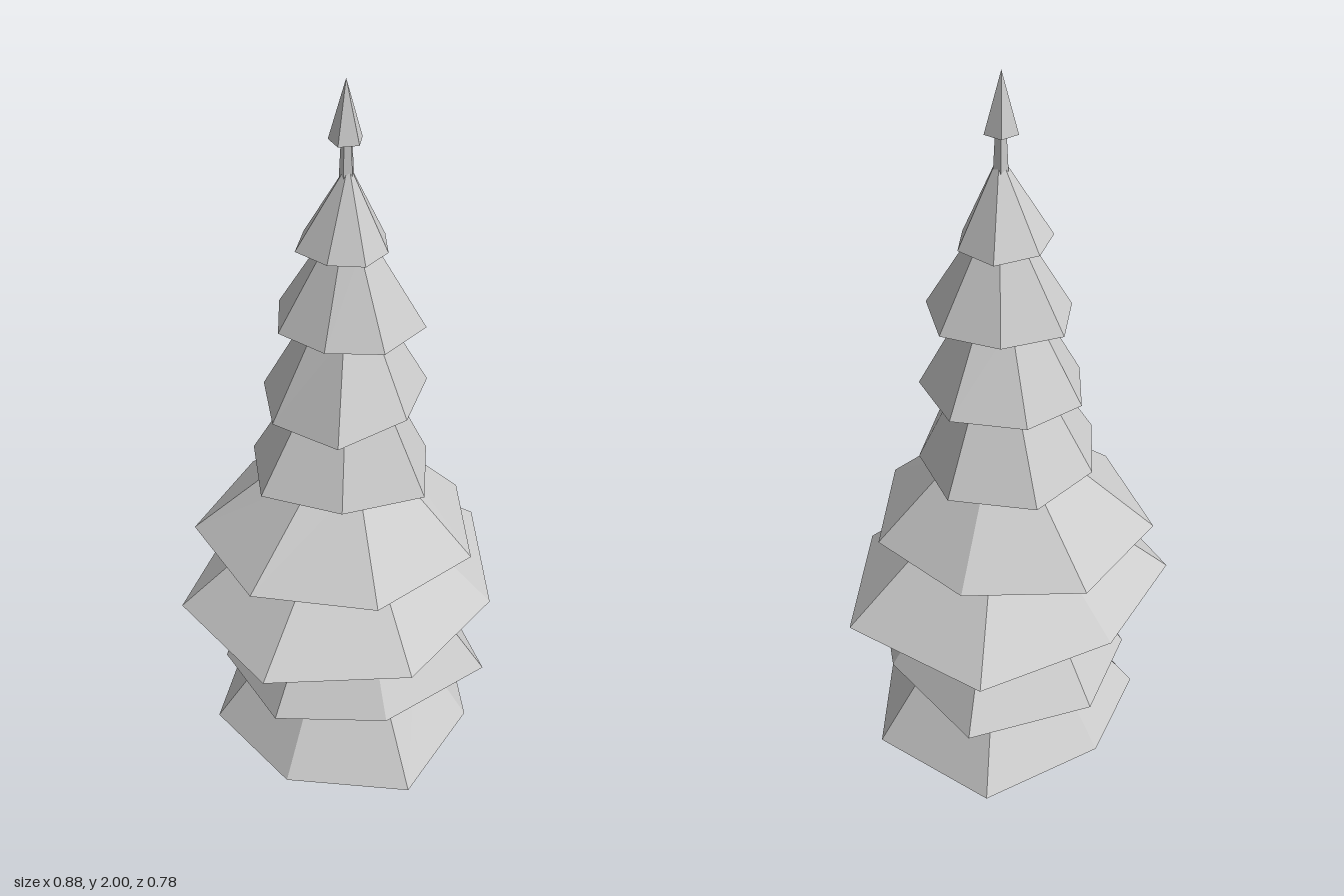
import * as THREE from 'three';

// Seven-sided tiers: hem height y, its tilt along x and z, turn in degrees,
// taper towards the upper end, and the reach of each hem corner
const TIERS = [
  { y: 0.148, tilt: [0, -0.03], turn: 5.6, taper: 0.57, reach: [0.372, 0.333, 0.4, 0.375, 0.372, 0.351, 0.42] },
  { y: 0.351, tilt: [0.04, 0.02], turn: 12, taper: 0.54, reach: [0.313, 0.385, 0.338, 0.358, 0.336, 0.36, 0.41] },
  { y: 0.568, tilt: [0, 0.01], turn: 7, taper: 0.45, reach: [0.442, 0.386, 0.424, 0.463, 0.451, 0.393, 0.455] },
  { y: 0.761, tilt: [-0.015, 0.02], turn: 17.8, taper: 0.35, reach: [0.327, 0.348, 0.373, 0.394, 0.4, 0.372, 0.327] },
  { y: 0.966, tilt: [0, 0], turn: 32.7, taper: 0.49, reach: [0.204, 0.251, 0.235, 0.27, 0.247, 0.261, 0.241] },
  { y: 1.172, tilt: [0.05, 0.02], turn: 34.8, taper: 0.43, reach: [0.199, 0.195, 0.243, 0.224, 0.217, 0.211, 0.215] },
  { y: 1.377, tilt: [-0.02, 0], turn: 0, taper: 0.32, reach: [0.177, 0.189, 0.177, 0.163, 0.18, 0.191, 0.166] },
  { y: 1.579, tilt: [-0.04, 0], turn: 7, taper: 0.05, reach: [0.112, 0.097, 0.107, 0.108, 0.129, 0.129, 0.131] },
];

// Closed faceted skirt: a hem ring joined to a smaller copy of it at height top
function skirtGeometry({ y, tilt, turn, taper, reach }, top) {
  const n = reach.length;
  const low = reach.map((r, i) => {
    const step = (i / n) * Math.PI * 2;
    const a = THREE.MathUtils.degToRad(turn + 4 * Math.sin(step)) + step;
    const x = r * Math.cos(a);
    const z = r * Math.sin(a);
    return [x, y + tilt[0] * x + tilt[1] * z, z];
  });
  const high = low.map(([x, , z]) => [x * taper, top, z * taper]);
  const pos = [];
  for (let i = 0; i < n; i++) {
    const j = (i + 1) % n;
    pos.push(...low[i], ...high[i], ...low[j], ...low[j], ...high[i], ...high[j]);
    pos.push(0, y, 0, ...low[i], ...low[j]);
    pos.push(0, top, 0, ...high[j], ...high[i]);
  }
  const g = new THREE.BufferGeometry();
  g.setAttribute('position', new THREE.Float32BufferAttribute(pos, 3));
  g.computeVertexNormals();
  return g;
}

export function createModel() {
  const tree = new THREE.Group();
  tree.name = 'pineTree';
  const grey = new THREE.MeshStandardMaterial({ color: 0xcccccc, flatShading: true });
  grey.name = 'light grey';

  const add = (name, geometry, x = 0, y = 0, z = 0) => {
    const mesh = new THREE.Mesh(geometry, grey);
    mesh.name = name;
    mesh.position.set(x, y, z);
    tree.add(mesh);
    return mesh;
  };

  // Branch tiers, each reaching just inside the one above
  TIERS.forEach((tier, i) => {
    const top = i + 1 < TIERS.length ? TIERS[i + 1].y + 0.015 : 1.785;
    add(`branchTier${i + 1}`, skirtGeometry(tier, top));
  });

  // Tip: thin stem under a small five-sided cone
  add('tipStem', new THREE.CylinderGeometry(0.013, 0.019, 0.12, 5), 0, 1.81, -0.005);
  add('treeTip', new THREE.ConeGeometry(0.042, 0.15, 5), 0, 1.925, -0.007);

  // Trunk
  add('trunk', new THREE.CylinderGeometry(0.04, 0.065, 0.16, 6), -0.015, 0.08, -0.005);

  // Roots: thin spikes running from the trunk down to the ground
  const up = new THREE.Vector3(0, 1, 0);
  const tips = [[-0.14, 0.03], [-0.04, 0.11], [0.105, 0.03], [0.04, -0.135], [-0.085, -0.085]];
  tips.forEach(([x, z], i) => {
    const tip = new THREE.Vector3(x, 0.012, z);
    const start = new THREE.Vector3(x * 0.3, 0.055, z * 0.3);
    const dir = tip.clone().sub(start);
    const mid = start.clone().add(tip).multiplyScalar(0.5);
    const root = add(`root${i + 1}`, new THREE.CylinderGeometry(0.007, 0.018, dir.length(), 4), mid.x, mid.y, mid.z);
    root.quaternion.setFromUnitVectors(up, dir.normalize());
  });

  return tree;
}
